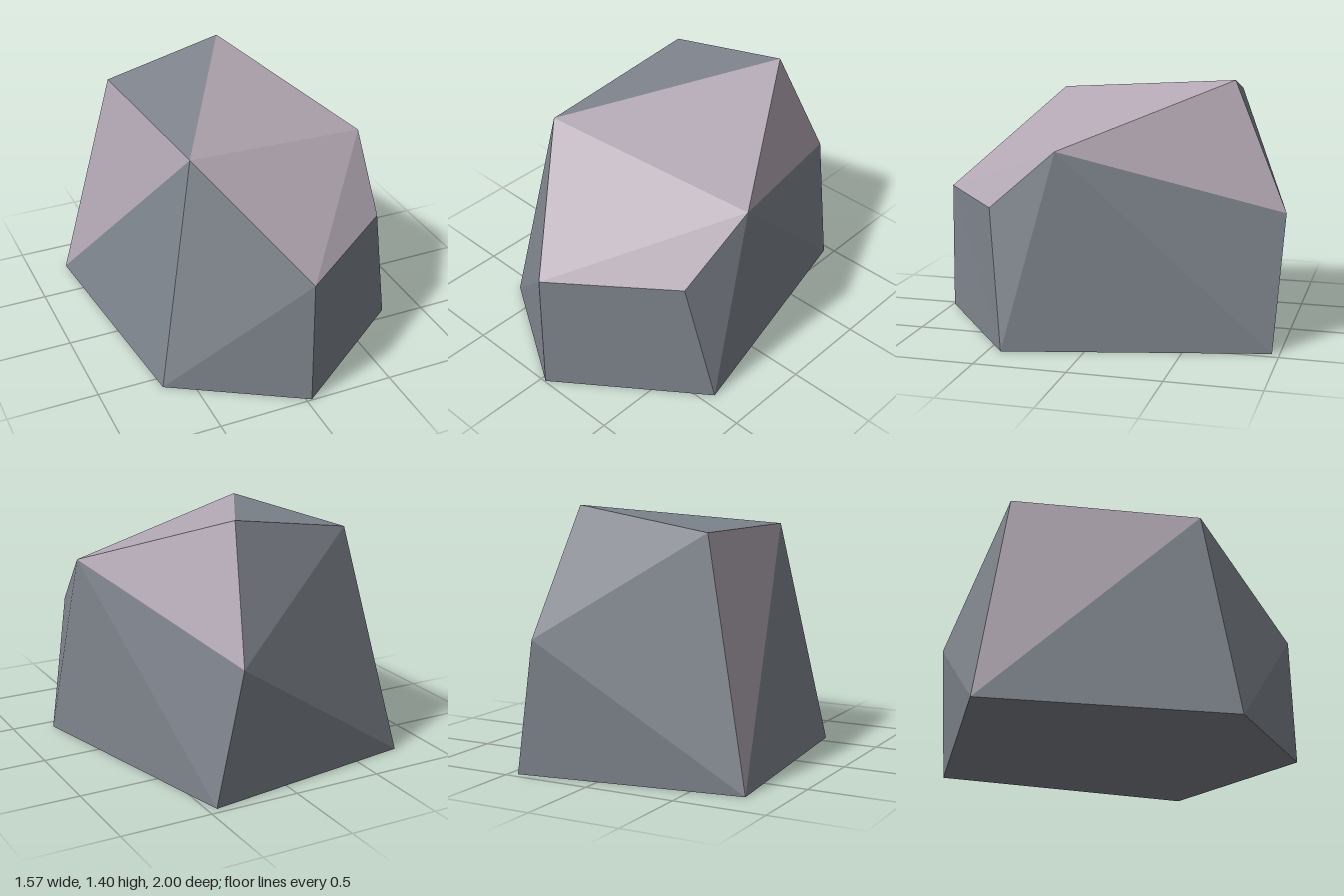
import * as THREE from 'three';

// Corners of the boulder: five on the ground, seven above
const corners = {
  A: [-0.66, 0, 0.58], B: [0.03, 0, 0.995], C: [0.78, 0, 0.43], D: [0.45, 0, -0.96], E: [-0.785, 0, -0.775],
  P: [-0.42, 1.265, 0.43], Q: [-0.495, 1.28, -0.625], R: [0.21, 1.405, -0.7], S: [0.715, 1.07, 0.14],
  T: [0.64, 0.74, 0.53], U: [0.03, 0.72, 0.985], V: [0.32, 0.73, -1],
};
const center = new THREE.Vector3(0, 0.6, 0);

// Flat facets from corner letters, each turned to face outwards
function facets(name, faces, material) {
  const points = [];
  for (const face of faces) {
    const [a, b, c] = [...face].map((k) => new THREE.Vector3(...corners[k]));
    const normal = b.clone().sub(a).cross(c.clone().sub(a));
    const outward = normal.dot(a.clone().sub(center)) > 0;
    points.push(...(outward ? [a, b, c] : [a, c, b]));
  }
  const geometry = new THREE.BufferGeometry().setFromPoints(points);
  geometry.computeVertexNormals();
  const mesh = new THREE.Mesh(geometry, material);
  mesh.name = name;
  return mesh;
}

export function createModel() {
  const stone = new THREE.MeshStandardMaterial({ color: 0x80868e });
  stone.name = 'blue grey stone';
  const mauve = new THREE.MeshStandardMaterial({ color: 0xb3a8b4 });
  mauve.name = 'mauve stone';

  const boulder = new THREE.Group();
  boulder.name = 'boulder';
  boulder.add(
    facets('crown', ['PRS', 'PSU', 'UST', 'RSV'], mauve),
    facets('sideStreak', ['EQP'], mauve),
    facets('crownPatch', ['PQR', 'QRV'], stone),
    facets('frontSides', ['APU', 'ABU', 'UTC', 'UCB', 'TSC'], stone),
    facets('backSides', ['SVD', 'SDC', 'VQE', 'VED', 'EPA'], stone),
    facets('underside', ['ABC', 'ACD', 'ADE'], stone),
  );
  return boulder;
}
